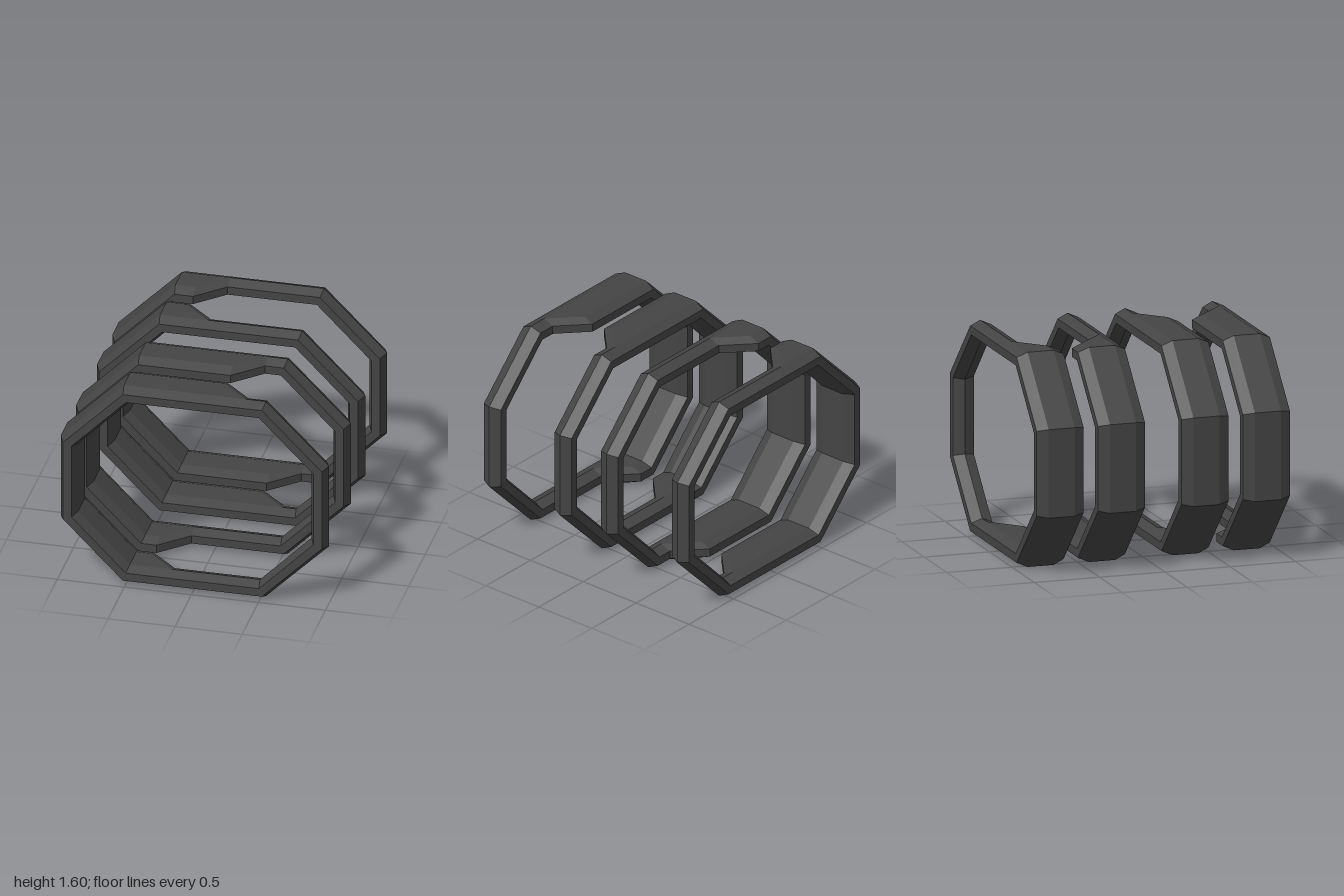
import * as THREE from 'three';

const HEIGHT = 1.6, DEPTH = 0.13;

// Stations counter-clockwise: outer point, inner point, 1 = wide band / 0 = narrow band
const stations = [
  [0.53, 1.6, 0.485, 1.47, 0],
  [0.38, 1.6, 0.38, 1.47, 0],
  [0.17, 1.6, 0.17, 1.47, 1],
  [-0.53, 1.6, -0.485, 1.47, 1],
  [-1, 1.13, -0.87, 1.078, 1],
  [-1, 0.47, -0.87, 0.522, 1],
  [-0.53, 0, -0.485, 0.13, 1],
  [-0.38, 0, -0.38, 0.13, 1],
  [-0.17, 0, -0.17, 0.13, 0],
  [0.53, 0, 0.485, 0.13, 0],
  [1, 0.47, 0.87, 0.522, 0],
  [1, 1.13, 0.87, 1.078, 0],
];

// Bevelled band section as [z, inset]; the inner edge slides by 0.2 when narrow
function section([ox, oy, ix, iy, wide]) {
  const s = wide ? 0 : 0.2;
  const profile = [
    [0.97, 0.035], [0.89, 0], [0.69 + s, 0], [0.61 + s, 0.035],
    [0.61 + s, 0.098], [0.69 + s, DEPTH], [0.89, DEPTH], [0.97, 0.098],
  ];
  return profile.map(([z, inset]) => {
    const t = inset / DEPTH;
    return new THREE.Vector3(ox + (ix - ox) * t, oy + (iy - oy) * t, z);
  });
}

// Octagonal ring lofted through the stations; mirrored swaps its front and back
function ringGeometry(mirrored) {
  const loops = stations.map(section);
  if (mirrored) loops.flat().forEach((p) => { p.z = 1.11 - p.z; });
  const positions = [];
  const addTriangle = (a, b, c) => {
    if (new THREE.Triangle(a, b, c).getArea() < 1e-6) return;
    for (const p of mirrored ? [a, c, b] : [a, b, c]) positions.push(p.x, p.y, p.z);
  };
  loops.forEach((loop, i) => {
    const next = loops[(i + 1) % loops.length];
    for (let k = 0; k < loop.length; k++) {
      const n = (k + 1) % loop.length;
      addTriangle(loop[k], loop[n], next[n]);
      addTriangle(loop[k], next[n], next[k]);
    }
  });
  const geometry = new THREE.BufferGeometry();
  geometry.setAttribute('position', new THREE.Float32BufferAttribute(positions, 3));
  geometry.computeVertexNormals();
  return geometry;
}

export function createModel() {
  const model = new THREE.Group();
  model.name = 'octagonalRings';
  const darkGrey = new THREE.MeshStandardMaterial({ color: 0x444444 });
  darkGrey.name = 'darkGrey';

  const outer = ringGeometry(false);
  const inner = ringGeometry(true);

  // Front pair, then the same pair turned over for the back
  for (const side of ['front', 'back']) {
    const pair = new THREE.Group();
    pair.name = side + 'RingPair';
    for (const [name, geometry] of [['OuterRing', outer], ['InnerRing', inner]]) {
      const ring = new THREE.Mesh(geometry, darkGrey);
      ring.name = side + name;
      pair.add(ring);
    }
    if (side === 'back') {
      pair.rotation.x = Math.PI;
      pair.position.y = HEIGHT;
    }
    model.add(pair);
  }
  return model;
}
